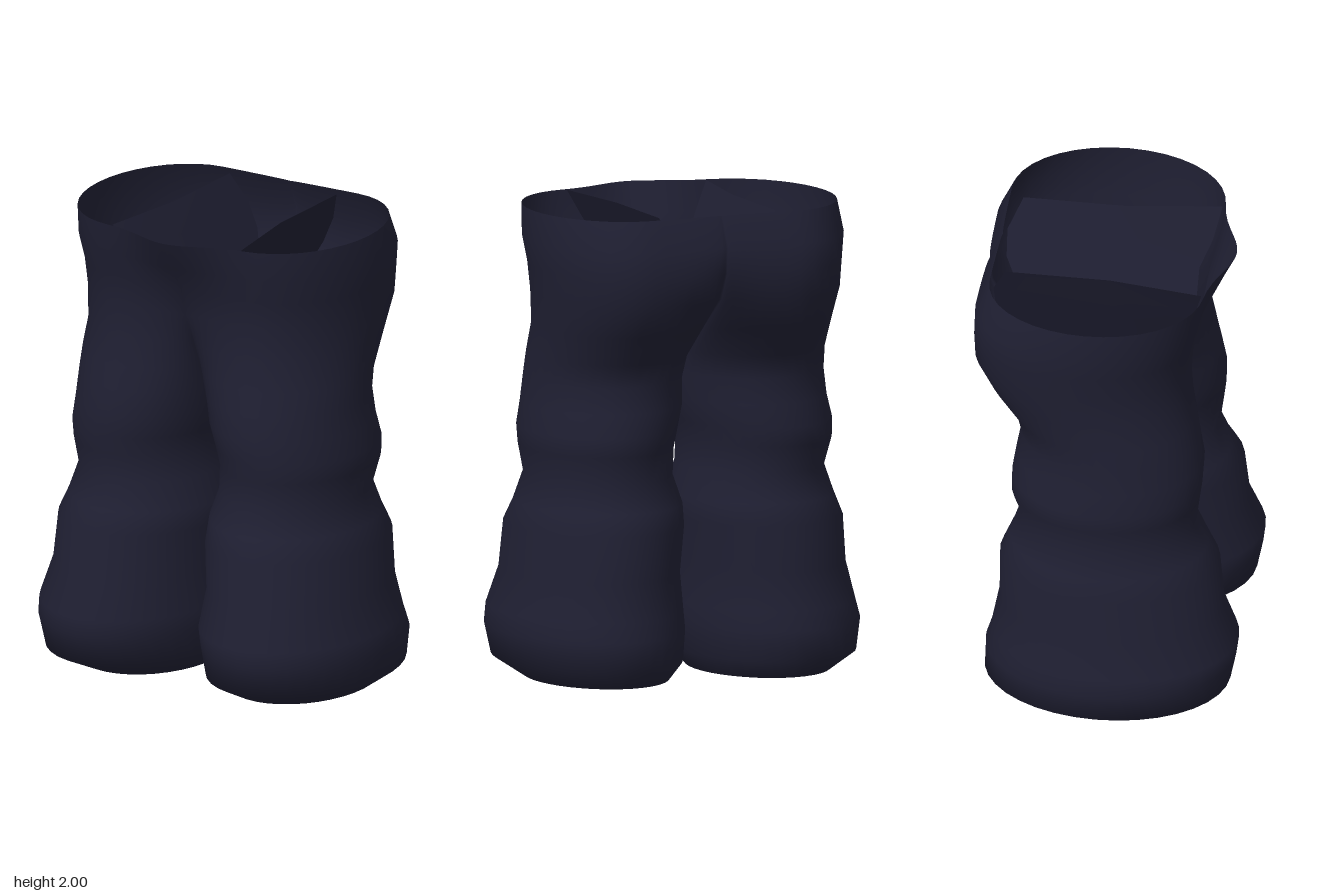
import * as THREE from 'three';
import { mergeGeometries, mergeVertices } from 'three/addons/utils/BufferGeometryUtils.js';

// Cross-sections of one leg, hem to waist:
// [y, inner x, outer x, front z, back z, front merge, back merge, front lip]
// merge 0 = closed leg tube, 1 = straight across to the other leg
const SECTIONS = [
  [0.00, 0.08, 0.66, 0.36, -0.41, 0, 0, 0],
  [0.08, 0.02, 0.775, 0.53, -0.51, 0, 0, 0],
  [0.21, 0.003, 0.80, 0.555, -0.505, 0, 0, 0],
  [0.29, 0.003, 0.785, 0.565, -0.48, 0, 0, 0],
  [0.45, 0.02, 0.74, 0.50, -0.45, 0, 0, 0],
  [0.65, 0.003, 0.725, 0.48, -0.45, 0, 0, 0],
  [0.74, 0.005, 0.69, 0.43, -0.41, 0, 0, 0],
  [0.86, 0.045, 0.65, 0.38, -0.36, 0, 0, 0],
  [0.98, 0.05, 0.675, 0.395, -0.40, 0, 0, 0],
  [1.06, 0.03, 0.68, 0.405, -0.40, 0, 0, 0],
  [1.16, 0.003, 0.66, 0.41, -0.385, 0, 0, 0],
  [1.27, 0.00, 0.65, 0.39, -0.365, 0.2, 0, 0],
  [1.37, 0.00, 0.645, 0.37, -0.39, 0.45, 0.15, 0],
  [1.50, 0.00, 0.64, 0.345, -0.49, 0.78, 0.45, 0],
  [1.64, 0.00, 0.655, 0.34, -0.56, 1, 0.78, 0],
  [1.76, 0.00, 0.665, 0.355, -0.565, 1, 0.93, 0.005],
  [1.87, 0.00, 0.68, 0.385, -0.56, 1, 0.97, 0.05],
  [2.00, 0.00, 0.67, 0.40, -0.50, 1, 0.98, 0.10],
];
const STEPS = 36;

// Point on a half section: s runs front centre -> outer side -> back centre
function sectionPoint([y, xin, xout, zf, zb, bf, bb, lip], s) {
  const a = 2 * Math.PI * s;
  const x = (xin + xout) / 2 - ((xout - xin) / 2) * Math.cos(a);
  let z = (zf + zb) / 2 + ((zf - zb) / 2) * Math.sin(a);
  if (s < 0.25) z = THREE.MathUtils.lerp(z, zf, bf);
  if (s > 0.75) z = THREE.MathUtils.lerp(z, zb, bb);
  if (s < 0.5) z += lip * Math.exp(-((x / 0.2) ** 2));
  return [x, y, z];
}

// Surface through rows of points, optionally mirrored to -x
function gridGeometry(rows, mirror) {
  const n = rows[0].length, index = [];
  const positions = rows.flat().flatMap(([x, y, z]) => [mirror ? -x : x, y, z]);
  for (let r = 0; r < rows.length - 1; r++) {
    for (let i = 0; i < n - 1; i++) {
      const a = r * n + i, b = a + 1, d = a + n, c = d + 1;
      if (mirror) index.push(a, c, b, a, d, c);
      else index.push(a, b, c, a, c, d);
    }
  }
  const g = new THREE.BufferGeometry();
  g.setAttribute('position', new THREE.Float32BufferAttribute(positions, 3));
  g.setIndex(index);
  return g;
}

export function createModel() {
  const group = new THREE.Group();
  group.name = 'trousers';
  const navy = new THREE.MeshStandardMaterial({ color: 0x1f1f32, side: THREE.DoubleSide });
  navy.name = 'dark navy cloth';

  // Outer cloth: both legs flowing into the hips, open at hems and waist
  const rows = SECTIONS.map((sec) =>
    Array.from({ length: STEPS + 1 }, (_, i) => sectionPoint(sec, i / STEPS)));
  const shell = mergeVertices(
    mergeGeometries([gridGeometry(rows, false), gridGeometry(rows, true)]), 1e-4);
  shell.computeVertexNormals();
  const cloth = new THREE.Mesh(shell, navy);
  cloth.name = 'legsAndHips';
  group.add(cloth);

  // Inner leg walls: leaning apart from the crotch up to the waist
  const wallRows = SECTIONS.filter((sec) => sec[0] > 1.3).map((sec) => {
    const t = (sec[0] - 1.37) / 0.63;
    const front = sectionPoint(sec, 0)[2], back = sectionPoint(sec, 1)[2];
    return [[0.32 * t, sec[0], front * (1 - 0.21 * t)], [0.265 * t, sec[0], 0],
      [0.265 * t, sec[0], back * (1 - 0.1 * t)]];
  });
  for (const mirror of [false, true]) {
    const g = gridGeometry(wallRows, mirror);
    g.computeVertexNormals();
    const wall = new THREE.Mesh(g, navy);
    wall.name = mirror ? 'rightInnerWall' : 'leftInnerWall';
    group.add(wall);
  }
  return group;
}
